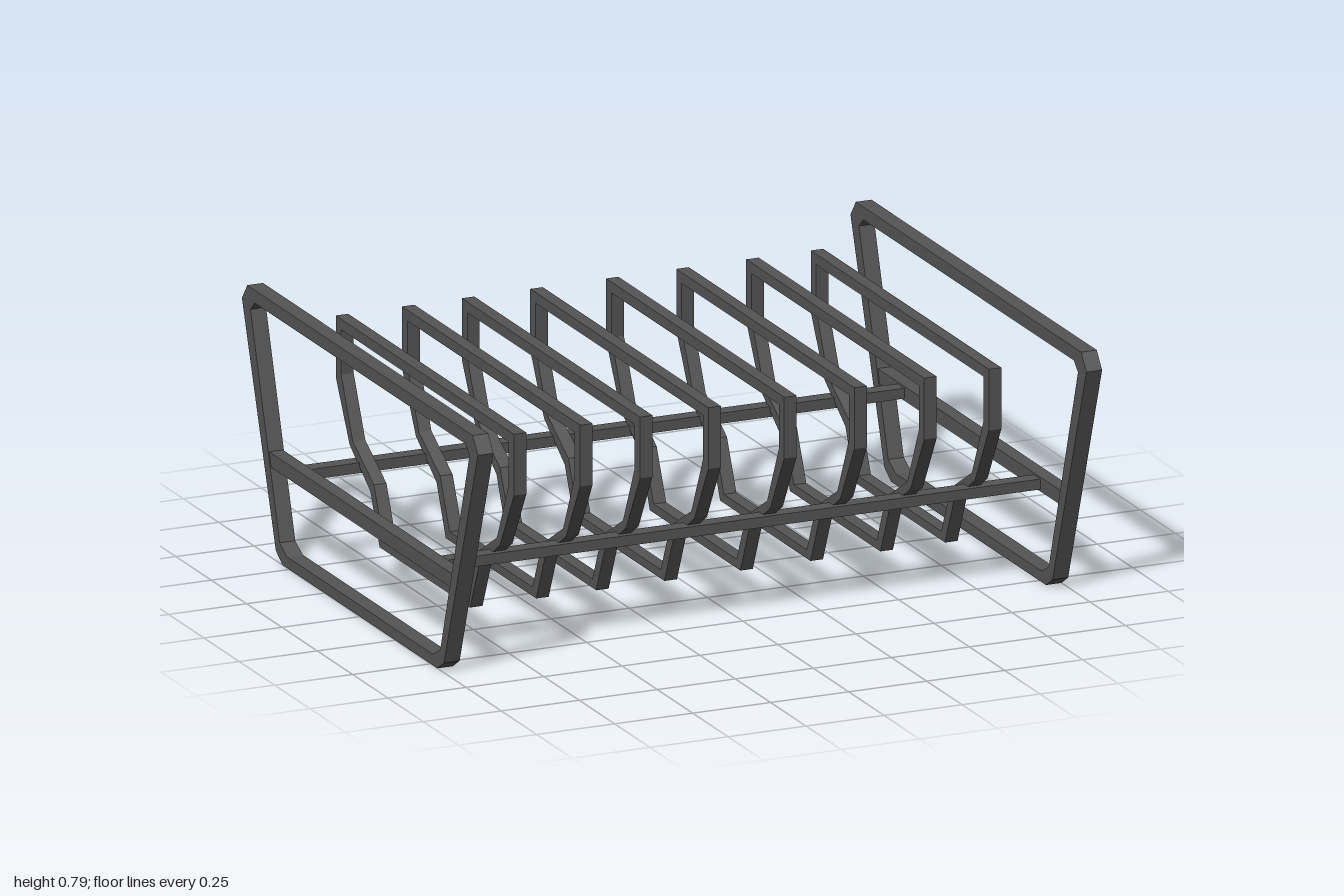
import * as THREE from 'three';

const material = new THREE.MeshStandardMaterial({ color: 0x555555, flatShading: true });

// Closed symmetric outline from half-profile points [z, y], listed top to bottom
function outline(half, Type) {
  const left = half.map(([z, y]) => new THREE.Vector2(-z, y));
  const right = half.map(([z, y]) => new THREE.Vector2(z, y)).reverse();
  return new Type([...left, ...right]);
}

// Flat hoop standing in the z-y plane, centred on its own x = 0
function hoopGeometry(outer, inner, width) {
  const shape = outline(outer, THREE.Shape);
  shape.holes.push(outline(inner, THREE.Path));
  const geo = new THREE.ExtrudeGeometry(shape, { depth: width, bevelEnabled: false });
  geo.translate(0, 0, -width / 2);
  geo.rotateY(-Math.PI / 2);
  return geo;
}

export function createModel() {
  const model = new THREE.Group();
  model.name = 'plateRack';

  const add = (name, geo, x, y, z) => {
    const mesh = new THREE.Mesh(geo, material);
    mesh.name = name;
    mesh.position.set(x, y, z);
    model.add(mesh);
  };

  // Tapered end frames with chamfered corners
  const frameGeo = hoopGeometry(
    [[0.797, 0.785], [0.835, 0.735], [0.595, 0.03], [0.548, 0]],
    [[0.745, 0.745], [0.775, 0.717], [0.568, 0.062], [0.515, 0.034]],
    0.05
  );
  const crossbarGeo = new THREE.BoxGeometry(0.044, 0.044, 1.32);
  for (const [side, x] of [['left', 0.975], ['right', -0.975]]) {
    add(`${side}EndFrame`, frameGeo, x, 0, 0);
    add(`${side}Crossbar`, crossbarGeo, x, 0.295, 0);
  }

  // Long rails joining the end frames
  const railGeo = new THREE.BoxGeometry(1.92, 0.032, 0.048);
  add('frontRail', railGeo, 0, 0.295, 0.478);
  add('backRail', railGeo, 0, 0.295, -0.485);

  // Stepped divider hoops
  const dividerGeo = hoopGeometry(
    [[0.63, 0.713], [0.63, 0.525], [0.532, 0.345], [0.385, 0.245], [0.32, 0.093]],
    [[0.592, 0.68], [0.592, 0.543], [0.51, 0.362], [0.36, 0.272], [0.293, 0.12]],
    0.04
  );
  [-0.772, -0.56, -0.368, -0.149, 0.094, 0.319, 0.543, 0.75].forEach((x, i) =>
    add(`divider${i + 1}`, dividerGeo, x, 0, 0));

  return model;
}
